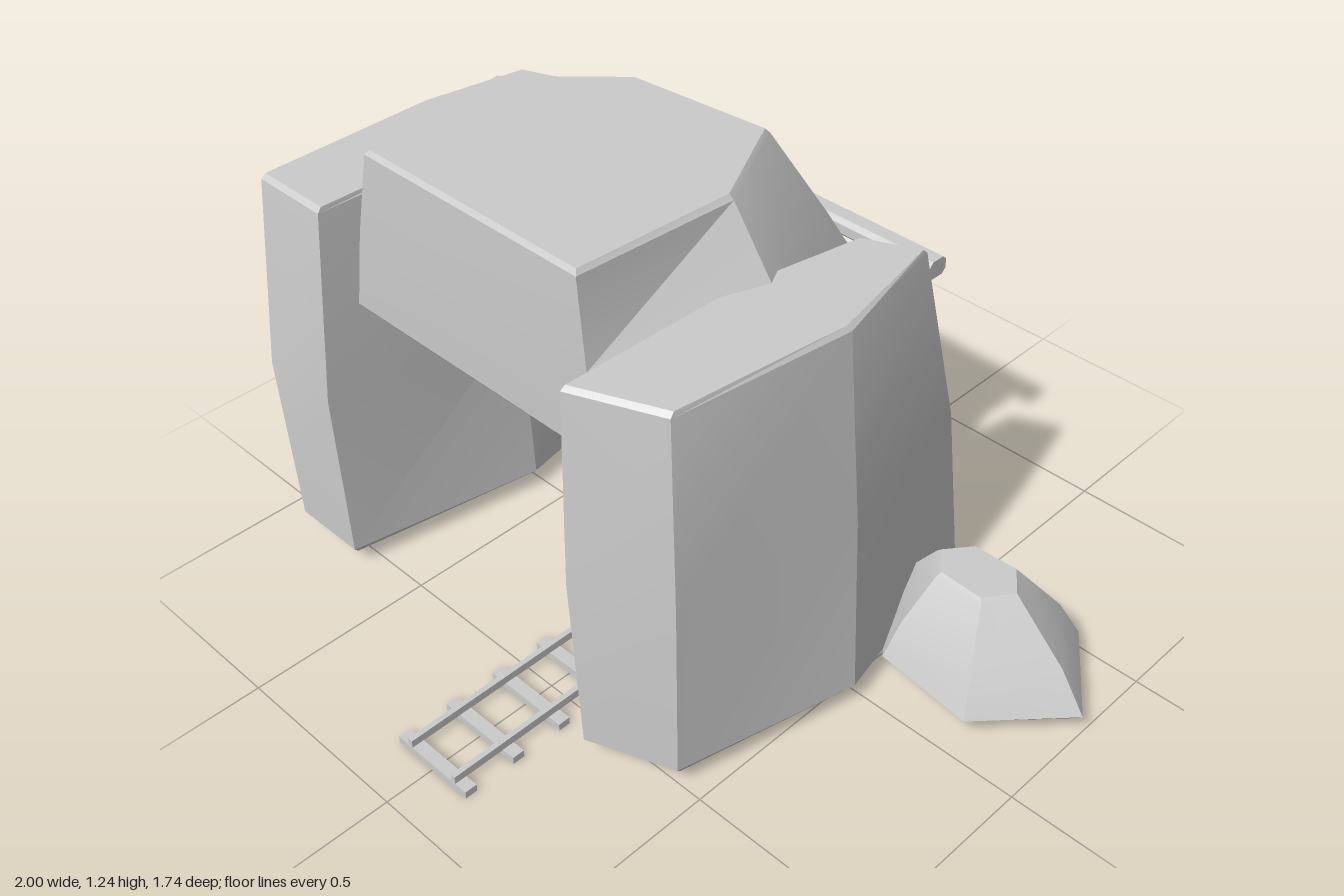
import * as THREE from 'three';
import { toCreasedNormals } from 'three/addons/utils/BufferGeometryUtils.js';

const material = new THREE.MeshStandardMaterial({ color: 0xcccccc });

function add(parent, name, geometry, x = 0, y = 0, z = 0) {
  const mesh = new THREE.Mesh(geometry, material);
  mesh.name = name;
  mesh.position.set(x, y, z);
  parent.add(mesh);
  return mesh;
}

// Square bar between two points
function bar(parent, name, a, b, width, height = width) {
  const from = new THREE.Vector3(...a), to = new THREE.Vector3(...b);
  const mid = from.clone().add(to).multiplyScalar(0.5);
  const mesh = add(parent, name, new THREE.BoxGeometry(width, height, from.distanceTo(to)), mid.x, mid.y, mid.z);
  mesh.lookAt(to);
  return mesh;
}

// Round the corners of a box section: octagonal beam of length along x
function beam(parent, name, x0, x1, y, z, h, d) {
  const c = 0.012, a = d / 2, b = h / 2;
  const s = new THREE.Shape([[a, b - c], [a - c, b], [c - a, b], [-a, b - c], [-a, c - b], [c - a, -b], [a - c, -b], [a, c - b]]
    .map(p => new THREE.Vector2(...p)));
  const g = new THREE.ExtrudeGeometry(s, { depth: x1 - x0, bevelEnabled: false });
  g.rotateY(Math.PI / 2);
  return add(parent, name, g, x0, y, z);
}

// Pull a cross-section a little towards its middle
function inset(ring, d) {
  const n = ring.length;
  const cx = ring.reduce((s, p) => s + p[0], 0) / n, cz = ring.reduce((s, p) => s + p[1], 0) / n;
  return ring.map(([x, z]) => {
    const l = Math.hypot(x - cx, z - cz);
    return [x + (cx - x) * d / l, z + (cz - z) * d / l];
  });
}

// Faceted boulder from horizontal cross-sections [height, [[x, z], ...]]
function rock(parent, name, sections) {
  const bevel = 0.012;
  const rings = sections.slice();
  const [topY, top] = rings.pop();
  rings.push([topY - bevel, top], [topY, inset(top, bevel)]);
  const [lowY, low] = rings[0];
  rings[0] = [lowY + bevel, low];
  rings.unshift([lowY, inset(low, bevel)]);

  const pos = [];
  const put = (r, i) => {
    const [y, pts] = rings[r];
    const p = pts[i % pts.length];
    pos.push(p[0], y, p[1]);
  };
  const n = low.length, last = rings.length - 1;
  for (let r = 0; r < last; r++) {
    for (let i = 0; i < n; i++) {
      put(r, i); put(r, i + 1); put(r + 1, i + 1);
      put(r, i); put(r + 1, i + 1); put(r + 1, i);
    }
  }
  for (let i = 1; i < n - 1; i++) {
    put(last, 0); put(last, i); put(last, i + 1);
    put(0, 0); put(0, i + 1); put(0, i);
  }
  const g = new THREE.BufferGeometry();
  g.setAttribute('position', new THREE.Float32BufferAttribute(pos, 3));
  return add(parent, name, toCreasedNormals(g, 0.3));
}

export function createModel() {
  const model = new THREE.Group();
  model.name = 'mineEntrance';

  // Boulders: two flanks, the lintel on top and a small one outside
  rock(model, 'rightRock', [
    [0.045, [[-0.58, 0.03], [-0.68, -0.5], [-0.89, -0.46], [-1, 0.03], [-0.89, 0.57], [-0.675, 0.57]]],
    [0.55, [[-0.61, 0.03], [-0.69, -0.43], [-0.885, -0.39], [-0.97, 0.03], [-0.9, 0.585], [-0.67, 0.585]]],
    [1.065, [[-0.67, 0.03], [-0.7, -0.31], [-0.86, -0.25], [-0.915, 0.03], [-0.9, 0.53], [-0.68, 0.53]]],
  ]);
  rock(model, 'leftRock', [
    [0.045, [[0.555, 0.03], [0.44, -0.5], [0.245, -0.43], [0.105, 0.08], [0.22, 0.595], [0.44, 0.51]]],
    [0.55, [[0.53, 0.03], [0.43, -0.43], [0.255, -0.37], [0.145, 0.08], [0.21, 0.612], [0.45, 0.52]]],
    [1.065, [[0.48, 0.03], [0.405, -0.31], [0.27, -0.25], [0.2, 0.08], [0.2, 0.59], [0.42, 0.5]]],
  ]);
  rock(model, 'topRock', [
    [0.765, [[0.44, 0.03], [0.155, -0.455], [-0.545, -0.39], [-0.985, 0.03], [-0.67, 0.46], [0.18, 0.46]]],
    [1.0, [[0.3, 0.03], [0.08, -0.35], [-0.49, -0.31], [-0.815, 0.03], [-0.62, 0.465], [0.14, 0.465]]],
    [1.235, [[0.14, 0.03], [0, -0.235], [-0.395, -0.2], [-0.635, 0.03], [-0.57, 0.46], [0.115, 0.46]]],
  ]);
  const base = [[1, -0.265], [0.83, -0.49], [0.49, -0.47], [0.4, -0.28], [0.54, -0.09], [0.81, -0.06]];
  const crown = [[0.785, -0.275], [0.73, -0.35], [0.595, -0.345], [0.54, -0.27], [0.595, -0.2], [0.73, -0.195]];
  const waist = base.map((p, i) => p.map((v, k) => crown[i][k] + (v - crown[i][k]) * 0.65));
  rock(model, 'smallRock', [[0.045, base], [0.16, waist], [0.295, crown]]);

  // Panel closing the tunnel
  add(model, 'backPanel', new THREE.BoxGeometry(0.785, 0.715, 0.015), -0.228, 0.367, -0.34);

  // Timber frame behind the panel
  const frame = new THREE.Group();
  frame.name = 'timberFrame';
  model.add(frame);
  beam(frame, 'topBeam', -0.695, 0.24, 0.805, -0.585, 0.05, 0.062);
  beam(frame, 'lowerBeam', -0.625, 0.175, 0.722, -0.567, 0.065, 0.055);
  for (const side of [-1, 1]) {
    const x = s => -0.225 + side * s;
    add(frame, 'post', new THREE.BoxGeometry(0.055, 0.65, 0.055), x(0.36), 0.365, -0.567);
    bar(frame, 'brace', [x(0.36), 0.67, -0.567], [x(0.19), 0.53, -0.567], 0.03);
  }

  // Track: sleepers, straight rails and bent rail ends at the back
  const track = new THREE.Group();
  track.name = 'track';
  model.add(track);
  for (let i = 0; i < 13; i++) {
    add(track, 'sleeper', new THREE.BoxGeometry(0.24, 0.02, 0.033), 0, 0.01, 0.852 - i * 0.1425);
  }
  for (const side of [-1, 1]) {
    bar(track, 'rail', [side * 0.077, 0.03, 0.868], [side * 0.077, 0.03, -0.32], 0.014, 0.022);
    bar(track, 'bentRail', [side * 0.077, 0.025, -0.3], [side * 0.093, 0.075, -0.68], 0.014, 0.02);
  }

  // Cart tipped over on the track
  const cart = new THREE.Group();
  cart.name = 'cart';
  cart.position.set(-0.05, 0.185, -0.16);
  cart.rotation.set(-0.7, 0, 0.26, 'ZYX');
  model.add(cart);
  add(cart, 'cartBody', new THREE.BoxGeometry(0.15, 0.31, 0.1));
  for (const side of [-1, 1]) {
    for (const end of [-1, 1]) {
      const wheel = add(cart, 'wheel', new THREE.CylinderGeometry(0.035, 0.035, 0.02, 8), side * 0.085, end * 0.09, -0.05);
      wheel.rotation.z = Math.PI / 2;
    }
  }
  return model;
}
